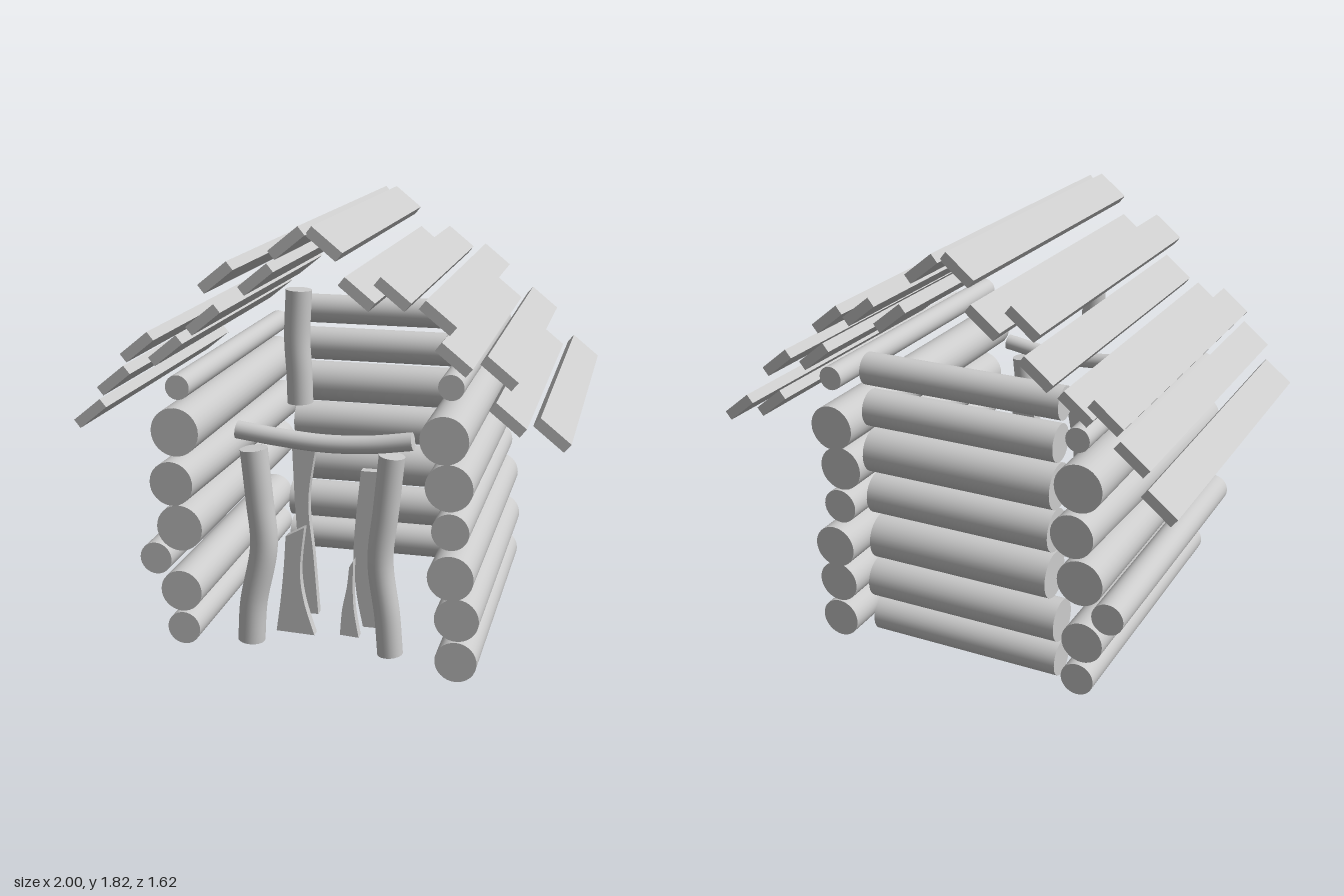
import * as THREE from 'three';

const grey = new THREE.MeshStandardMaterial({ color: 0xcccccc, side: THREE.DoubleSide });
const v = (a) => new THREE.Vector3(...a);

export function createModel() {
  const root = new THREE.Group();

  function add(parent, name, geometry) {
    const mesh = new THREE.Mesh(geometry, grey);
    mesh.name = name;
    parent.add(mesh);
    return mesh;
  }
  function section(name) {
    const g = new THREE.Group();
    g.name = name;
    root.add(g);
    return g;
  }
  // Straight round log between two points
  function log(parent, name, a, b, r) {
    const dir = v(b).sub(v(a));
    const m = add(parent, name, new THREE.CylinderGeometry(r, r, dir.length(), 32));
    m.position.copy(v(a).add(v(b)).multiplyScalar(0.5));
    m.quaternion.setFromUnitVectors(new THREE.Vector3(0, 1, 0), dir.normalize());
  }
  // Bent round pole with flat cut ends
  function pole(name, points, r) {
    const g = section(name);
    const curve = new THREE.CatmullRomCurve3(points.map(v));
    add(g, name + 'Bark', new THREE.TubeGeometry(curve, 24, r, 24));
    for (const t of [0, 1]) {
      const cap = add(g, name + 'End', new THREE.CircleGeometry(r, 24));
      cap.position.copy(curve.getPoint(t));
      const out = curve.getTangent(t).multiplyScalar(t ? 1 : -1);
      cap.quaternion.setFromUnitVectors(new THREE.Vector3(0, 0, 1), out);
    }
  }
  // Warped plank outlined by its left and right edges, both bottom to top
  function warpedPlank(name, left, right, z, thick) {
    const toV2 = (p) => new THREE.Vector2(...p);
    const s = new THREE.Shape();
    s.moveTo(...left[0]);
    s.splineThru(left.slice(1).map(toV2));
    const back = [...right].reverse();
    s.lineTo(...back[0]);
    s.splineThru(back.slice(1).map(toV2));
    s.closePath();
    const geo = new THREE.ExtrudeGeometry(s, { depth: thick, bevelEnabled: false, curveSegments: 5 });
    add(root, name, geo).position.z = z - thick / 2;
  }

  // Side walls: [x, y, radius, front z, back z, back x shift]
  const leftWall = section('leftWall');
  [
    [0.575, 0.085, 0.085, 0.66, -0.65], [0.575, 0.265, 0.09, 0.66, -0.65],
    [0.555, 0.46, 0.092, 0.71, -0.69], [0.545, 0.635, 0.075, 0.67, -0.65],
    [0.535, 0.81, 0.095, 0.66, -0.645], [0.525, 1.02, 0.095, 0.73, -0.71],
    [0.543, 1.22, 0.05, 0.7, -0.67],
  ].forEach(([x, y, r, f, b]) => log(leftWall, 'leftWallLog', [x, y, f], [x, y, b], r));

  const rightWall = section('rightWall');
  [
    [-0.565, 0.115, 0.07, 0.67, -0.68, 0], [-0.575, 0.275, 0.088, 0.66, -0.66, 0],
    [-0.682, 0.41, 0.068, 0.66, -0.66, 0], [-0.57, 0.555, 0.097, 0.67, -0.68, 0],
    [-0.583, 0.757, 0.092, 0.712, -0.692, 0.045], [-0.565, 0.97, 0.1, 0.7, -0.7, 0],
    [-0.547, 1.155, 0.05, 0.7, -0.67, 0],
  ].forEach(([x, y, r, f, b, s]) => log(rightWall, 'rightWallLog', [x, y, f], [x + s, y, b], r));

  // Back wall: [right end, left end, y, radius]
  const backWall = section('backWall');
  [
    [-0.445, 0.41, 0.115, 0.077], [-0.445, 0.42, 0.292, 0.09], [-0.41, 0.4, 0.495, 0.098],
    [-0.415, 0.41, 0.697, 0.09], [-0.425, 0.415, 0.892, 0.096], [-0.43, 0.42, 1.078, 0.078],
    [-0.447, 0.43, 1.247, 0.068],
  ].forEach(([a, b, y, r]) => log(backWall, 'backWallLog', [a, y, -0.56], [b, y, -0.56], r));

  // Roof boards, each slope following its pitch: [x, y, z centre]
  const roof = section('roof');
  [
    [-0.93, 1.02, -0.065], [-0.807, 1.172, -0.032], [-0.702, 1.313, -0.032],
    [-0.57, 1.313, 0], [-0.425, 1.435, -0.032], [-0.358, 1.607, 0],
    [-0.21, 1.6, -0.032], [-0.06, 1.755, 0.058],
    [0.073, 1.752, 0.025], [0.183, 1.56, -0.032], [0.32, 1.566, -0.032],
    [0.5, 1.495, 0.018], [0.558, 1.338, -0.002], [0.725, 1.292, -0.022],
    [0.76, 1.115, -0.032], [0.925, 1.068, -0.032],
  ].forEach(([x, y, z]) => {
    const board = add(roof, 'roofBoard', new THREE.BoxGeometry(0.15, 0.042, 1.5));
    board.position.set(x, y, z);
    board.rotation.z = x < 0 ? 0.68 : -0.68;
  });

  // Doorway: two crooked posts, a sagging lintel, a short gable post
  pole('rightDoorPost', [[-0.28, 0.085, 0.64], [-0.268, 0.25, 0.64], [-0.22, 0.5, 0.64], [-0.235, 0.7, 0.64], [-0.255, 0.91, 0.64]], 0.056);
  pole('leftDoorPost', [[0.305, 0.085, 0.64], [0.292, 0.25, 0.64], [0.263, 0.48, 0.64], [0.285, 0.7, 0.64], [0.307, 0.92, 0.64]], 0.052);
  pole('doorLintel', [[-0.32, 0.985, 0.645], [-0.15, 0.965, 0.645], [0.04, 0.952, 0.645], [0.22, 0.96, 0.645], [0.39, 0.985, 0.645]], 0.036);
  pole('gablePost', [[-0.077, 1.095, 0.58], [-0.08, 1.22, 0.58], [-0.087, 1.35, 0.58], [-0.078, 1.545, 0.58]], 0.051);

  // Broken planks standing inside the doorway
  warpedPlank('tallRightPlank',
    [[-0.2, 0.08], [-0.17, 0.35], [-0.18, 0.6], [-0.19, 0.865]],
    [[-0.08, 0.08], [-0.1, 0.35], [-0.12, 0.6], [-0.08, 0.865]], 0.31, 0.04);
  warpedPlank('shortRightPlank',
    [[-0.21, 0.075], [-0.19, 0.22], [-0.175, 0.36], [-0.165, 0.5]],
    [[-0.045, 0.07], [-0.09, 0.22], [-0.105, 0.36], [-0.085, 0.545]], 0.5, 0.04);
  warpedPlank('tallLeftPlank',
    [[0.14, 0.085], [0.11, 0.25], [0.1, 0.45], [0.13, 0.775]],
    [[0.245, 0.085], [0.225, 0.25], [0.21, 0.45], [0.245, 0.775]], 0.4, 0.04);
  warpedPlank('shortLeftPlank',
    [[0.065, 0.085], [0.075, 0.2], [0.095, 0.3], [0.105, 0.39]],
    [[0.145, 0.08], [0.125, 0.2], [0.12, 0.3], [0.122, 0.42]], 0.5, 0.04);

  return root;
}
